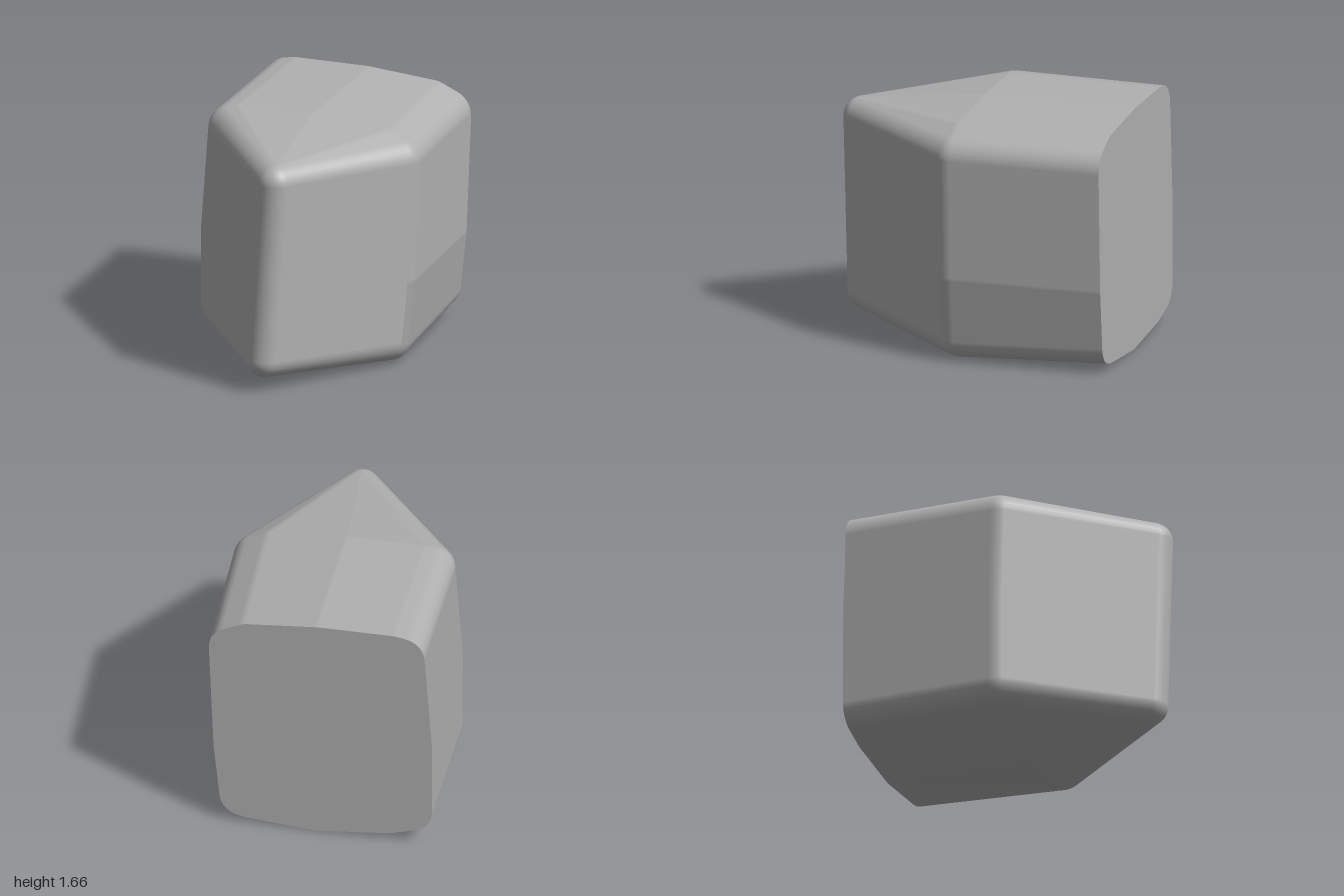
import * as THREE from 'three';
import { ConvexGeometry } from 'three/addons/geometries/ConvexGeometry.js';

const EDGE = 0.16; // rounding of the long edges
const NOSE = 0.13; // rounding of the front ridge

// Rounding centres of the cross-section: x, y
const SECTION = [
  [-0.56, 1.49], [-0.5, 1.5], [0, 1.5], [0.5, 1.46], [0.61, 1.41], [0.61, 1.35], [0.58, 0.6],
  [0.54, 0.17], [0.5, 0.16], [0.02, 0.16], [-0.45, 0.205], [-0.61, 0.25], [-0.61, 0.8],
];

export function createModel() {
  const group = new THREE.Group();
  const grey = new THREE.MeshStandardMaterial({ color: 0xb0b0b0 });
  grey.name = 'stone grey';

  const points = [];
  const normals = new Map();
  const key = (v) => [v.x, v.y, v.z].map((n) => Math.round(n * 1e4)).join();
  const add = (centre, dir, r) => {
    const p = centre.clone().addScaledVector(dir, r);
    points.push(p);
    normals.set(key(p), dir);
  };
  const ball = (x, y, z, r) => {
    const centre = new THREE.Vector3(x, y, z);
    for (let i = 0; i <= 20; i++) {
      for (let j = 0; j < (i % 20 ? 32 : 1); j++) {
        const dir = new THREE.Vector3().setFromSphericalCoords(1, (i / 20) * Math.PI, (j / 32) * Math.PI * 2);
        if (dir.z > -0.01) add(centre, dir, r);
      }
    }
  };

  // Rounded shoulders and the flat back outline
  for (const [x, y] of SECTION) {
    ball(x, y, 0.03, EDGE);
    const right = x > 0.4;
    const back = new THREE.Vector3(right ? x - 0.04 : x, right && y < 0.3 ? y + 0.04 : y, -1);
    for (let j = 0; j < 40; j++) {
      const a = (j / 40) * Math.PI * 2;
      add(back, new THREE.Vector3(Math.cos(a), Math.sin(a), 0), EDGE);
    }
  }
  // Slightly leaning front ridge
  ball(0.075, 1.45, 0.87, NOSE);
  ball(-0.01, 0.22, 0.87, NOSE);

  // Smooth hull around all roundings, with a crisp flat back
  const geometry = new ConvexGeometry(points);
  const pos = geometry.attributes.position;
  const nor = geometry.attributes.normal;
  const v = new THREE.Vector3();
  for (let i = 0; i < pos.count; i++) {
    if (nor.getZ(i) < -0.9) continue;
    const n = normals.get(key(v.fromBufferAttribute(pos, i)));
    if (n) nor.setXYZ(i, n.x, n.y, n.z);
  }

  const body = new THREE.Mesh(geometry, grey);
  body.name = 'roundedWedgeBlock';
  group.add(body);
  return group;
}
